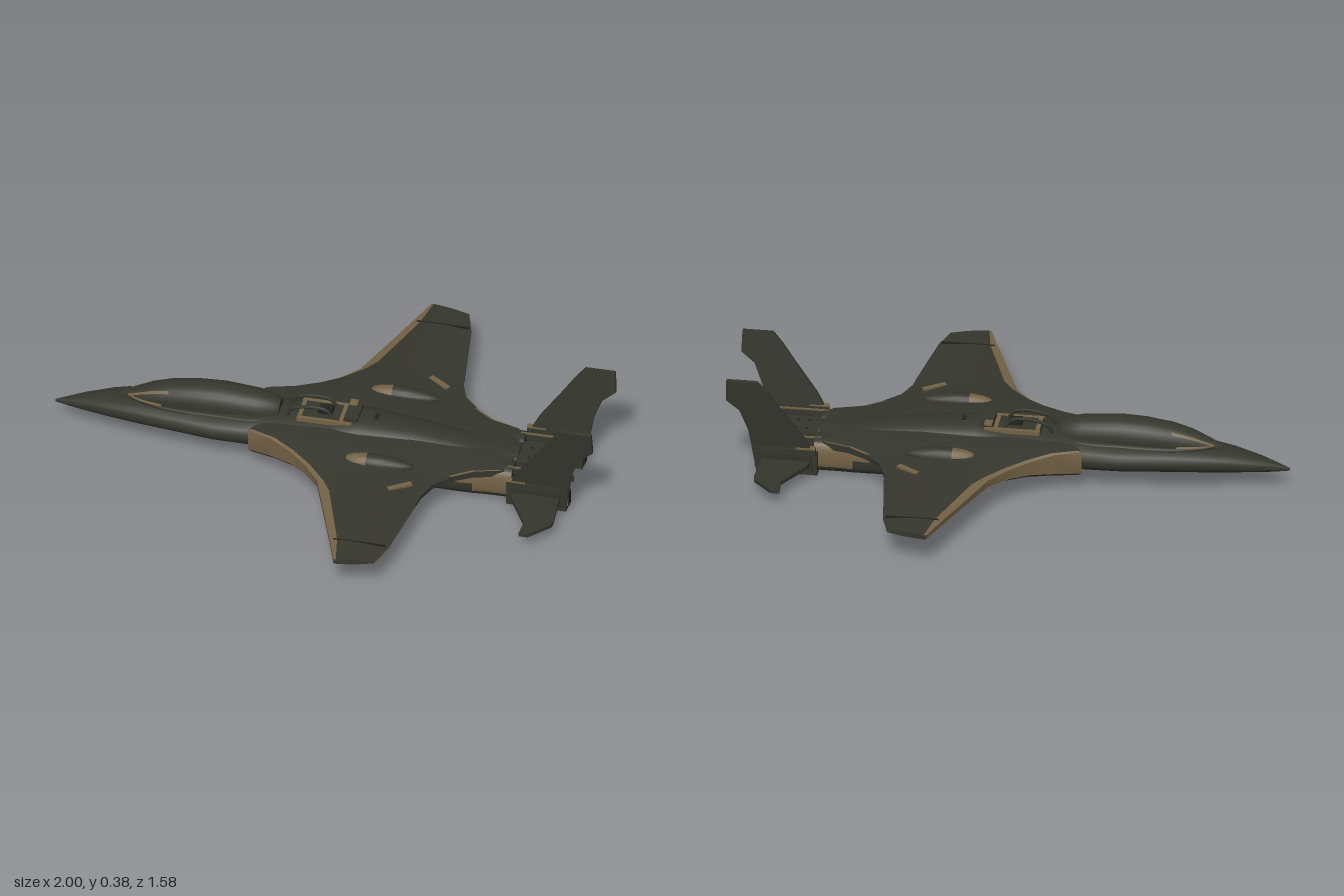
import * as THREE from 'three';
import { toCreasedNormals } from 'three/addons/utils/BufferGeometryUtils.js';

const mat = (name, color) => {
  const m = new THREE.MeshStandardMaterial({ color });
  m.name = name;
  return m;
};

export function createModel() {
  const olive = mat('dark olive', 0x35362d);
  const tan = mat('worn tan', 0x736245);
  const black = mat('panel black', 0x22231d);
  const model = new THREE.Group();
  model.name = 'jetAircraft';

  const add = (name, geo, material, x = 0, y = 0, z = 0) => {
    const mesh = new THREE.Mesh(geo, material);
    mesh.name = name;
    mesh.position.set(x, y, z);
    model.add(mesh);
    return mesh;
  };
  const box = (name, m, w, h, d, x, y, z) => add(name, new THREE.BoxGeometry(w, h, d), m, x, y, z);

  // Skin a row of rings; isTan(section, ringIndex) picks the painted faces
  function loft(name, rings, isTan = () => false, crease = 0.7) {
    const n = rings[0].length;
    const pos = [];
    const faces = [[], []];
    rings.forEach(r => r.forEach(p => pos.push(...p)));
    for (let i = 0; i < rings.length - 1; i++) {
      for (let j = 0; j < n; j++) {
        const a = i * n + j, b = i * n + (j + 1) % n;
        faces[isTan(i, j) ? 1 : 0].push(a, b, b + n, a, b + n, a + n);
      }
    }
    [0, rings.length - 1].forEach(i => {
      const c = pos.length / 3;
      for (let k = 0; k < 3; k++) pos.push(rings[i].reduce((s, p) => s + p[k], 0) / n);
      for (let j = 0; j < n; j++) {
        const a = i * n + j, b = i * n + (j + 1) % n;
        faces[0].push(...(i ? [a, b, c] : [b, a, c]));
      }
    });
    // Turn the faces outward if the enclosed volume is negative
    const v = k => new THREE.Vector3().fromArray(pos, k * 3);
    let volume = 0;
    const all = [...faces[0], ...faces[1]];
    for (let i = 0; i < all.length; i += 3) volume += v(all[i]).dot(v(all[i + 1]).cross(v(all[i + 2])));
    if (volume < 0) for (let i = 0; i < all.length; i += 3) [all[i], all[i + 1]] = [all[i + 1], all[i]];
    const geo = new THREE.BufferGeometry();
    geo.setAttribute('position', new THREE.Float32BufferAttribute(pos, 3));
    geo.setIndex(all);
    geo.addGroup(0, faces[0].length, 0);
    geo.addGroup(faces[0].length, faces[1].length, 1);
    return add(name, toCreasedNormals(geo, crease), [olive, tan]);
  }

  // Rounded cross-section at x, spanning zc +- hw and y0..y1
  const ring = (x, zc, hw, y0, y1, power = 2, n = 28) => Array.from({ length: n }, (_, j) => {
    const a = (j / n) * Math.PI * 2;
    const f = u => Math.sign(u) * Math.abs(u) ** (2 / power);
    return [x, (y0 + y1) / 2 + (y1 - y0) / 2 * f(Math.sin(a)), zc + hw * f(Math.cos(a))];
  });

  const slab = (pts, depth) => {
    const shape = new THREE.Shape(pts.map(p => new THREE.Vector2(...p)));
    return new THREE.ExtrudeGeometry(shape, { depth, bevelEnabled: false }).translate(0, 0, -depth / 2);
  };
  const tube = (name, m, pts, radius, closed = false) => {
    const curve = new THREE.CatmullRomCurve3(pts.map(p => new THREE.Vector3(...p)), closed);
    return add(name, new THREE.TubeGeometry(curve, closed ? 60 : 20, radius, 6, closed), m);
  };

  // Fuselage: x, half width, bottom, top
  loft('fuselage', [
    [-1, 0.003, 0.07, 0.08], [-0.95, 0.02, 0.066, 0.097], [-0.9, 0.036, 0.064, 0.114],
    [-0.8, 0.065, 0.063, 0.138], [-0.7, 0.088, 0.062, 0.152], [-0.6, 0.106, 0.062, 0.161],
    [-0.4, 0.135, 0.06, 0.168], [-0.28, 0.133, 0.056, 0.172], [-0.2, 0.115, 0.051, 0.173],
    [0, 0.11, 0.05, 0.178], [0.12, 0.1, 0.05, 0.195], [0.3, 0.085, 0.05, 0.18],
    [0.45, 0.075, 0.05, 0.16], [0.58, 0.07, 0.055, 0.136], [0.69, 0.066, 0.06, 0.13],
  ].map(([x, w, a, b]) => ring(x, 0, w, a, b, 2.4)));

  // Canopy with a worn patch at its pointed front
  loft('canopy', [
    [-0.76, 0.008, 0.155], [-0.73, 0.026, 0.167], [-0.69, 0.04, 0.186], [-0.65, 0.05, 0.204],
    [-0.58, 0.06, 0.224], [-0.48, 0.067, 0.238], [-0.39, 0.069, 0.242], [-0.26, 0.064, 0.232],
    [-0.21, 0.055, 0.222], [-0.18, 0.04, 0.208],
  ].map(([x, w, t]) => ring(x, 0, w, 0.1, t, 2.2)), (i, j) => i > 0 && i < 4 && (j === 3 || j === 10));
  tube('canopySill', olive, [
    [-0.74, 0], [-0.62, 0.062], [-0.4, 0.079], [-0.24, 0.071], [-0.17, 0],
    [-0.24, -0.071], [-0.4, -0.079], [-0.62, -0.062],
  ].map(([x, z]) => [x, 0.152 + (x + 0.74) * 0.016, z]), 0.008, true);

  // Dorsal equipment bay and its tube guard
  box('dorsalBay', olive, 0.2, 0.03, 0.1, -0.01, 0.17, 0);
  box('dorsalHatch', black, 0.05, 0.035, 0.04, -0.015, 0.185, 0);
  box('dorsalHousing', olive, 0.05, 0.03, 0.1, 0.085, 0.188, 0);
  [-0.1, 0.05].forEach(x => box('bayCrossbar', tan, 0.015, 0.018, 0.1, x, 0.182, 0));
  box('housingPatch', tan, 0.028, 0.006, 0.035, 0.076, 0.203, -0.048);
  box('dorsalVent', black, 0.015, 0.008, 0.03, 0.17, 0.19, 0);

  // Rear deck between the engines
  box('rearDeck', olive, 0.17, 0.05, 0.13, 0.755, 0.095, 0);
  box('rearRail', olive, 0.02, 0.02, 0.14, 0.83, 0.075, 0);
  [0.73, 0.77, 0.81].forEach(x => [-0.03, 0.03].forEach(z => box('deckBolt', black, 0.008, 0.006, 0.008, x, 0.121, z)));

  for (const s of [1, -1]) {
    // Wing: z at leading and trailing edge, x of both, bottom, top, leading edge half height, worn strip width
    const wing = [
      [0, 0, -0.2, 0.69, 0.055, 0.168, 0.04, 0.012], [0.13, 0.13, -0.27, 0.66, 0.055, 0.167, 0.042, 0.012],
      [0.16, 0.16, -0.18, 0.56, 0.062, 0.164, 0.038, 0.014], [0.21, 0.21, -0.1, 0.49, 0.075, 0.158, 0.026, 0.014],
      [0.27, 0.27, -0.03, 0.435, 0.085, 0.15, 0.018, 0.016], [0.345, 0.345, 0.03, 0.407, 0.092, 0.145, 0.013, 0.022],
      [0.4, 0.4, 0.05, 0.4, 0.096, 0.143, 0.011, 0.036], [0.67, 0.67, 0.148, 0.362, 0.105, 0.134, 0.009, 0.028],
      [0.79, 0.765, 0.19, 0.333, 0.109, 0.13, 0.008, 0.008],
    ].map(([z0, z1, x0, x1, lo, hi, le, strip]) => {
      const mid = (lo + hi) / 2, h = (hi - lo) / 2, chord = x1 - x0, te = 0.014 / chord;
      const top = [
        [0, le], [strip / chord, (le + h) / 2], [0.3, h], [0.6, h * 0.85],
        [1 - te, h * (0.25 + 1.5 * te)], [1, h * 0.25],
      ];
      const at = (t, dy) => [x0 + chord * t, mid + dy, s * (z0 + (z1 - z0) * t)];
      return [...top.map(([t, y]) => at(t, y)), ...top.reverse().map(([t, y]) => at(t, -y))];
    });
    loft('wing', wing, (i, j) => (i > 0 && (j === 0 || j === 11)) || (j === 4 && (i === 1 || i === 2))
      || (j === 5 && i > 5 && s > 0), 0.5);
    box('wingTipPanelLine', black, 0.19, 0.008, 0.005, 0.258, 0.13, s * 0.672);
    box('flapMark', tan, 0.09, 0.008, 0.02, 0.325, 0.137, s * 0.32).rotation.y = s * 0.6;

    // Streamlined bulge on the wing
    const bulge = [0, 0.05, 0.15, 0.33, 0.5, 0.7, 0.85, 0.95, 1].map(t => {
      const r = Math.max(0.02, Math.sqrt(Math.sin(Math.PI * t ** 0.8)));
      return ring(0.095 + 0.26 * t, s * 0.21, 0.035 * r, 0.145 - 0.03 * r, 0.145 + 0.031 * r, 2, 20);
    });
    loft('wingBulge', bulge, i => i < 3);

    // Engine nacelle with worn outer side panels
    const upper = j => (s > 0 ? j < 4 : j > 9 && j < 14);
    const lower = j => (s > 0 ? j > 25 : j > 13 && j < 16);
    loft('engineNacelle', [
      [0, 0.03, 0.046, 0.08], [0.04, 0.05, 0.032, 0.09], [0.15, 0.06, 0.019, 0.1],
      [0.4, 0.063, 0.009, 0.115], [0.49, 0.063, 0.006, 0.125], [0.55, 0.058, 0.004, 0.128],
      [0.6, 0.052, 0.003, 0.13], [0.69, 0.05, 0.003, 0.128],
    ].map(([x, w, a, b]) => ring(x, s * 0.093, w, a, b, 3)), (i, j) => (i > 3 && upper(j)) || (i > 4 && lower(j)));
    add('engineOutlet', new THREE.CircleGeometry(0.04, 24).rotateY(Math.PI / 2), black, 0.693, 0.06, s * 0.09);

    // Open exhaust structure behind the nacelle
    box('exhaustSide', olive, 0.22, 0.09, 0.055, 0.785, 0.047, s * 0.13);
    box('exhaustSlot', black, 0.17, 0.022, 0.004, 0.79, 0.035, s * 0.158);
    box('exhaustSlotStripe', tan, 0.17, 0.006, 0.005, 0.79, 0.049, s * 0.158);
    box('exhaustLip', black, 0.012, 0.055, 0.035, 0.896, 0.045, s * 0.13);
    box('exhaustRearStripe', tan, 0.006, 0.06, 0.006, 0.898, 0.055, s * 0.152);
    box('exhaustBar', olive, 0.25, 0.022, 0.014, 0.785, 0.113, s * 0.105);
    box('exhaustBarStripe', tan, 0.2, 0.006, 0.006, 0.77, 0.126, s * 0.105);

    // Tail fin, leaning outward
    const fin = add('tailFin', slab([
      [0.69, -0.1], [0.7, 0], [0.725, 0.045], [0.81, 0.162], [0.85, 0.22], [0.885, 0.262], [0.995, 0.262],
      [0.998, 0.18], [0.95, 0.14], [0.92, 0.06], [0.91, 0], [0.895, -0.1],
    ], 0.014), olive, 0, 0.12, s * 0.167);
    fin.rotation.x = s * 0.11;
    box('finRootFairing', olive, 0.22, 0.025, 0.022, 0.79, 0.1, s * 0.167);
    box('finRootStripe', tan, 0.07, 0.006, 0.022, 0.715, 0.114, s * 0.167);

    // Tailplane
    add('tailplane', slab([
      [0.7, 0.14], [0.705, 0.2], [0.78, 0.335], [0.775, 0.4], [0.808, 0.4],
      [0.877, 0.325], [0.88, 0.3], [0.87, 0.14],
    ].map(([x, z]) => [x, s * z]), 0.014).rotateX(Math.PI / 2), olive, 0, 0.054, 0);

    // Dorsal bay rails, guard tube and the worn line along the canopy front
    box('bayRail', tan, 0.2, 0.016, 0.014, -0.01, 0.179, s * 0.055);
    tube('guardTube', olive, [
      [-0.15, 0.17], [-0.14, 0.196], [-0.1, 0.215], [-0.01, 0.215], [0.015, 0.19],
    ].map(([x, y]) => [x, y, s * 0.035]), 0.006);
    tube('canopyWornLine', tan, [[-0.73, 0.158, s * 0.02], [-0.69, 0.16, s * 0.045], [-0.6, 0.163, s * 0.069]], 0.005);
  }

  return model;
}
